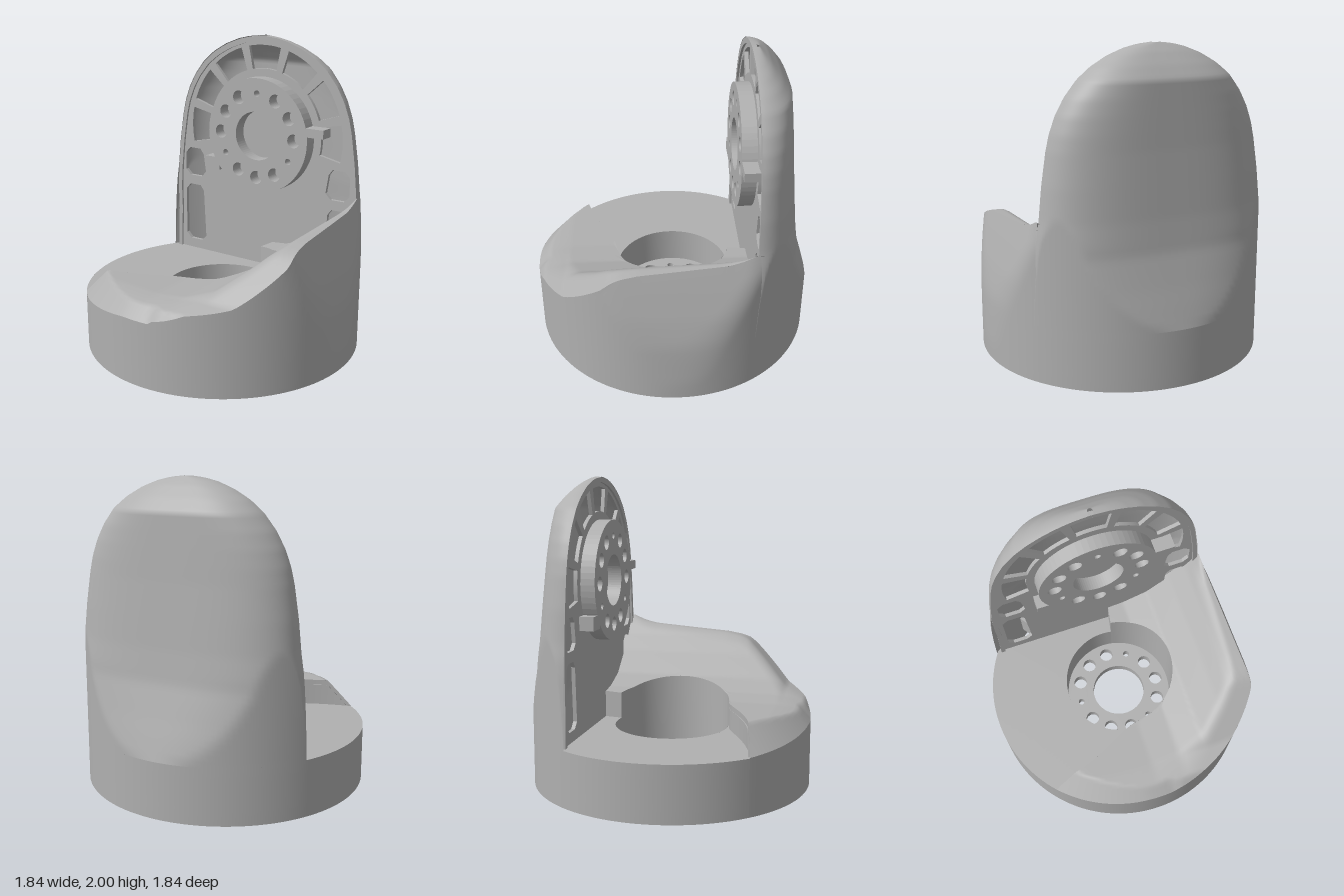
import * as THREE from 'three';

const rad = THREE.MathUtils.degToRad, lerp = THREE.MathUtils.lerp;

// Piecewise-linear profile lookup
function profile(pts) {
  return v => {
    if (v <= pts[0][0]) return pts[0][1];
    for (let i = 1; i < pts.length; i++) {
      const [a, p] = pts[i - 1], [b, q] = pts[i];
      if (v <= b) return lerp(p, q, (v - a) / (b - a));
    }
    return pts[pts.length - 1][1];
  };
}

// Minimum with a small rounded blend
function softMin(a, b, k) {
  const h = Math.max(0, k - Math.abs(a - b)) / k;
  return Math.min(a, b) - h * h * k / 4;
}

const R = 0.92, WELL = 0.38, SHELF = 0.36, INNER = 0.48, BEARING_Y = 1.32, WALL = 0.035;
const roofX = profile([[-0.92, 0.44], [-0.86, 0.52], [-0.72, 0.57], [-0.6, 0.68], [-0.5, 0.77], [-0.42, 0.84],
  [-0.36, 0.865], [-0.25, 0.885], [0, 0.905], [0.3, 0.93], [0.38, 0.95], [0.44, 0.975], [0.48, 1]]);
const roofZ = profile([[-0.7, 0.54], [0, 0.53], [0.2, 0.55], [0.38, 0.61], [0.55, 0.75], [0.66, 0.86], [0.72, 0.94], [0.76, 1.03]]);
const frontZ = profile([[0.1, 0.95], [0.2, 0.93], [0.4, 0.905], [0.6, 0.86], [0.8, 0.805], [0.95, 0.76], [1.05, 0.745]]);
const wallHalf = profile([[0.36, 0.785], [0.6, 0.777], [0.8, 0.765], [0.9, 0.755], [1, 0.74], [1.2, 0.72], [1.4, 0.69],
  [1.5, 0.667], [1.6, 0.63], [1.7, 0.575], [1.8, 0.495], [1.87, 0.41], [1.93, 0.305], [1.97, 0.2], [1.99, 0.115], [2, 0.02]]);
const wallOut = profile([[0.36, 0.92], [0.5, 0.88], [0.6, 0.85], [0.8, 0.795], [1, 0.77], [1.4, 0.735],
  [1.8, 0.71], [1.88, 0.65], [1.95, 0.585], [2, 0.525]]);

// Roof height, with a bevel along the low outer edge
function roof(x, z) {
  const h = softMin(roofX(x), roofZ(z), 0.06);
  if (x > 0) return h;
  const edge = lerp(0.36, 0.43, Math.min(1, Math.max(0, (z + 0.7) / 0.6))) + Math.max(0, z - 0.1);
  return Math.min(h, edge + 1.1 * Math.max(0, R - Math.hypot(x, z)));
}
const outerR = (a, y) => Math.cos(a) > 0.05 ? softMin(R, frontZ(y) / Math.cos(a), 0.04) : R;

// Height of the roof where it meets the outer skin at angle a
function crest(a) {
  let y = 0.6;
  for (let i = 0; i < 14; i++) {
    const r = outerR(a, y);
    y = lerp(y, roof(r * Math.sin(a), r * Math.cos(a)), 0.5);
  }
  return y;
}

// Surface patch from a rule over u, v in 0..1
function patch(nu, nv, fn) {
  const pos = [], idx = [];
  for (let j = 0; j <= nv; j++) for (let i = 0; i <= nu; i++) pos.push(...fn(i / nu, j / nv));
  for (let j = 0; j < nv; j++) for (let i = 0; i < nu; i++) {
    const a = j * (nu + 1) + i, b = a + nu + 1;
    idx.push(a, a + 1, b + 1, a, b + 1, b);
  }
  const g = new THREE.BufferGeometry();
  g.setAttribute('position', new THREE.Float32BufferAttribute(pos, 3));
  g.setIndex(idx);
  g.computeVertexNormals();
  return g;
}

const polar = (a, r, y) => [r * Math.sin(a), y, r * Math.cos(a)];
// Keeps a radius from reaching into the hollow arm
const underArm = (a, r) => Math.sin(a) > 0 ? Math.min(r, 0.52 / Math.sin(a)) : r;

// Round flange with a centre bore and twelve bolt holes, three of them small
function flangeGeometry(radius, bore, depth) {
  const s = new THREE.Shape().absarc(0, 0, radius, 0, Math.PI * 2);
  s.holes.push(new THREE.Path().absarc(0, 0, bore, 0, Math.PI * 2, true));
  for (let i = 0; i < 12; i++) {
    const a = rad(i * 30);
    s.holes.push(new THREE.Path().absarc(0.295 * Math.sin(a), -0.295 * Math.cos(a), i % 4 === 2 ? 0.022 : 0.047, 0, Math.PI * 2, true));
  }
  return new THREE.ExtrudeGeometry(s, { depth, bevelEnabled: false, curveSegments: 32 });
}

// Arm outline, drawn in by d and a little more where the arm meets the round base
function armOutline(d) {
  const side = [];
  for (let i = 0; i <= 40; i++) {
    const y = lerp(0.34, 2, 1 - Math.pow(1 - i / 40, 2));
    const half = wallHalf(y) - d - 0.03 * Math.min(1, Math.max(0, (1 - y) / 0.35));
    side.push(new THREE.Vector2(Math.max(0.004, half), y - d * Math.max(0, (y - BEARING_Y) / 0.68)));
  }
  return [...side, ...side.map(p => new THREE.Vector2(-p.x, p.y)).reverse()];
}

export function createModel() {
  const group = new THREE.Group();
  const grey = new THREE.MeshStandardMaterial({ color: 0xb0b0b0, side: THREE.DoubleSide });
  grey.name = 'grey plastic';
  const add = (name, geometry, parent = group) => {
    const m = new THREE.Mesh(geometry, grey);
    m.name = name;
    parent.add(m);
    return m;
  };
  // Flat plate standing against the arm, its front at x
  const addUpright = (name, shape, x, depth) => {
    const m = add(name, new THREE.ExtrudeGeometry(shape, { depth, bevelEnabled: false, curveSegments: 8 }));
    m.rotation.y = -Math.PI / 2;
    m.position.x = x + depth;
  };

  // Base shell, outside and lining: skirt tall under the roof and low around the shelf
  const aBack = rad(-137), aWall = rad(33), aStep = rad(80);
  const stepAngle = t => rad(-82 - 55 * Math.pow(t, 0.4));
  const roofPoint = (a, t) => {
    const r = underArm(a, lerp(WELL, outerR(a, crest(a)), t));
    const [x, , z] = polar(a, r, 0);
    return [x, t === 1 && a < aWall ? crest(a) : roof(x, z), z];
  };
  for (const [side, inset] of [['', 0], ['Lining', WALL]]) {
    add('tallSkirt' + side, patch(90, 20, (u, v) => {
      const a = lerp(aBack, aWall, u), y = v * (crest(a) - inset);
      return polar(a, outerR(a, y) - inset, y);
    }));
    add('lowSkirt' + side, patch(80, 4, (u, v) => {
      const a = lerp(aWall, aBack + Math.PI * 2, u), y = v * (SHELF - inset);
      return polar(a, outerR(a, y) - inset, y);
    }));
    add('roof' + side, patch(90, 32, (u, v) => {
      const [x, y, z] = roofPoint(lerp(stepAngle(v), aStep, u), v * (1 - inset));
      return [x, y - inset, z];
    }));
    add('shelf' + side, patch(64, 16, (u, v) => {
      const a = lerp(aStep, stepAngle(v) + Math.PI * 2, u);
      return polar(a, underArm(a, lerp(WELL, R - inset, v)), SHELF - inset);
    }));
  }
  add('rimEdge', new THREE.RingGeometry(R - WALL, R, 80).rotateX(Math.PI / 2));

  // Step between roof and shelf
  for (const [name, angle] of [['curvedStep', stepAngle], ['wallStep', () => aStep]])
    add(name, patch(24, 1, (u, v) => {
      const p = roofPoint(angle(u), u);
      return [p[0], v ? p[1] : SHELF, p[2]];
    }));

  // Central well with its bolted floor
  add('wellFrontWall', patch(32, 1, (u, v) => {
    const p = polar(lerp(rad(-82), aStep, u), WELL, 0);
    return [p[0], v ? roof(p[0], p[2]) : 0.04, p[2]];
  }));
  add('wellBackWall', patch(40, 1, (u, v) => polar(lerp(aStep, rad(278), u), WELL, v ? SHELF : 0.04)));
  const floor = add('wellFlange', flangeGeometry(0.39, 0.19, 0.07));
  floor.rotation.x = -Math.PI / 2;
  floor.position.y = 0.04;

  // Stiffening ribs inside the base
  for (let i = 0; i < 10; i++) {
    const rib = new THREE.Group();
    rib.name = 'rib';
    rib.rotation.y = rad(i * 36 + 18);
    add('ribFoot', new THREE.BoxGeometry(0.06, 0.22, 0.08).translate(0, 0.24, 0.845), rib);
    if (i % 2) add('ribWeb', new THREE.BoxGeometry(0.03, 0.2, 0.5).translate(0, 0.25, 0.63), rib);
    group.add(rib);
  }

  // Upright arm: hollow rounded shell growing out of the round base
  add('armShell', patch(64, 72, (u, v) => {
    const y = lerp(SHELF, 2, 1 - Math.pow(1 - v, 1.5)), c = -Math.cos(u * Math.PI);
    const p = lerp(2, 3.3, Math.min(1, (y - SHELF) / 0.5)), z = c * wallHalf(y);
    const bulge = Math.sqrt(Math.max(0, 1 - Math.pow(Math.abs(c), p)));
    return [Math.min(INNER + (wallOut(y) - INNER) * bulge, Math.sqrt(R * R - z * z)), y, z];
  }));

  // Raised border around the inner face
  const border = new THREE.Shape(armOutline(0.004));
  border.holes.push(new THREE.Path(armOutline(0.034)));
  addUpright('armBorder', border, INNER, 0.025);

  // Recessed inner plate with weight-saving pockets
  const plate = new THREE.Shape(armOutline(0.022));
  for (let i = 0; i < 7; i++) {
    const a = rad(-12 + i * 30), b = a + rad(24);
    plate.holes.push(new THREE.Path().absarc(0, BEARING_Y, 0.615, a, b).absarc(0, BEARING_Y, 0.455, b, a, true));
  }
  for (const s of [-1, 1]) for (const [y0, y1] of [[0.43, 0.86], [0.93, 1.14]]) {
    plate.holes.push(new THREE.Path([[0.5, y0 + 0.04], [0.54, y0], [0.64, y0], [0.68, y0 + 0.04], [0.68, y1 - 0.04],
      [0.64, y1], [0.55, y1], [0.52, y1 - 0.04]].map(([z, y]) => new THREE.Vector2(z * s, y))));
  }
  addUpright('armPlate', plate, INNER + 0.015, 0.025);

  // Bearing flange on the arm, with its stop tabs
  const bearing = add('bearingFlange', flangeGeometry(0.4, 0.17, 0.1));
  bearing.rotation.y = -Math.PI / 2;
  bearing.position.set(0.5, BEARING_Y, 0);
  add('rearStop', new THREE.BoxGeometry(0.1, 0.09, 0.12).translate(0.45, 1.08, -0.37));
  add('frontStop', new THREE.BoxGeometry(0.1, 0.06, 0.14).translate(0.45, 1.39, 0.45));
  return group;
}
